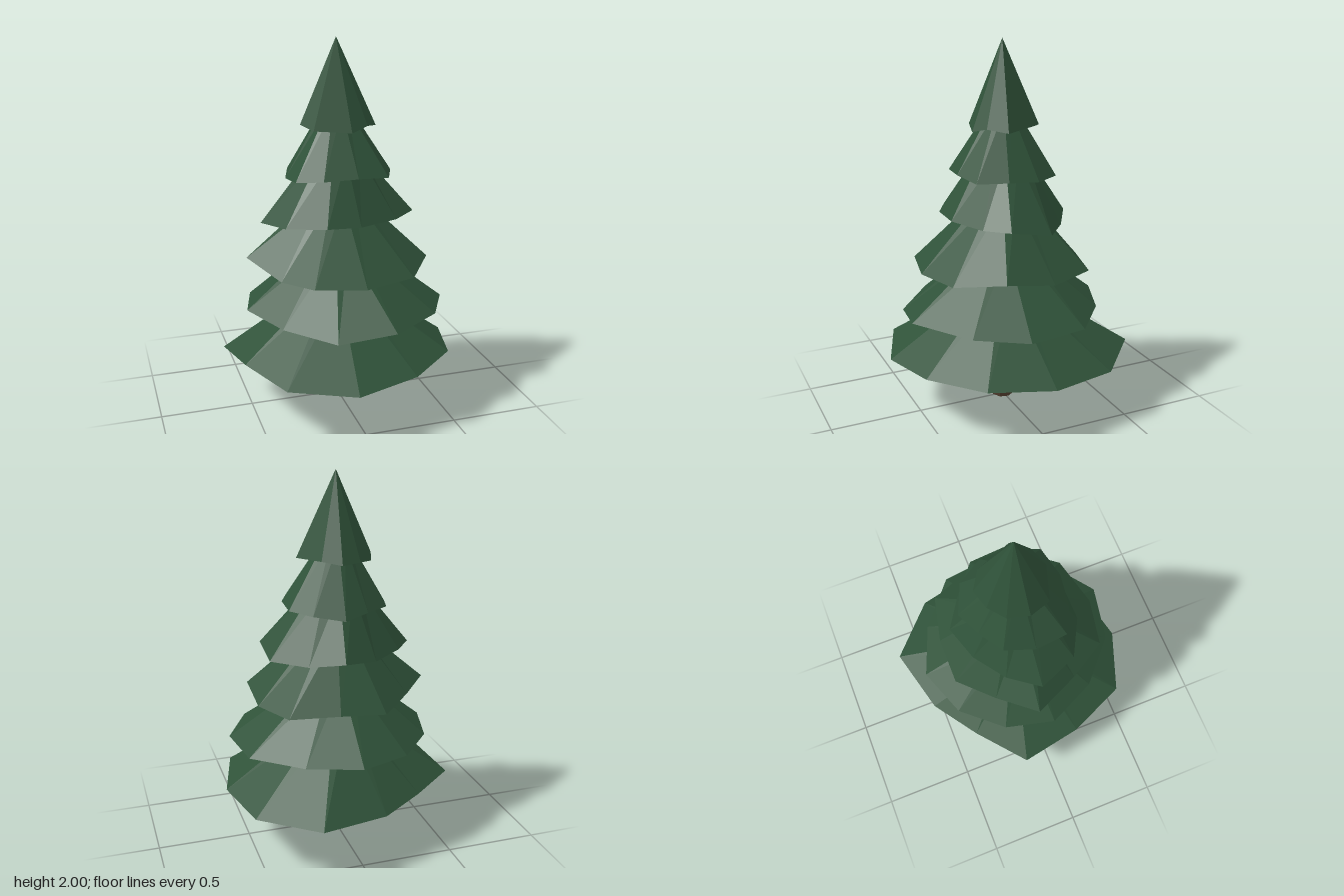
import * as THREE from 'three';

const CENTRE_X = -0.01;

// One skirt of branches: ragged rim [x, z, y], small ring at the top, closed underside.
function branchTier(name, material, topY, topRadius, rim) {
  const ring = rim
    .map(([x, z, y]) => ({ p: new THREE.Vector3(x, y, z), a: Math.atan2(z, x - CENTRE_X) }))
    .sort((m, n) => m.a - n.a);
  const tops = ring.map(({ a }) => new THREE.Vector3(
    CENTRE_X + topRadius * Math.cos(a), topY, topRadius * Math.sin(a)));
  const meanY = ring.reduce((sum, { p }) => sum + p.y, 0) / ring.length;
  const under = new THREE.Vector3(CENTRE_X, meanY, 0);
  const tip = new THREE.Vector3(CENTRE_X, topY, 0);

  const points = [];
  ring.forEach(({ p }, i) => {
    const j = (i + 1) % ring.length;
    const q = ring[j].p;
    points.push(p, tops[i], q);
    if (topRadius > 0) points.push(tops[i], tops[j], q, tops[i], tip, tops[j]);
    points.push(p, q, under);
  });
  const geometry = new THREE.BufferGeometry().setFromPoints(points);
  geometry.computeVertexNormals();
  const mesh = new THREE.Mesh(geometry, material);
  mesh.name = name;
  return mesh;
}

export function createModel() {
  const needles = new THREE.MeshStandardMaterial({ color: 0x2f5239, flatShading: true });
  needles.name = 'pine green';
  const bark = new THREE.MeshStandardMaterial({ color: 0x4a3829, flatShading: true });
  bark.name = 'bark brown';

  const tree = new THREE.Group();
  tree.name = 'pineTree';

  // Trunk
  const trunk = new THREE.Mesh(new THREE.CylinderGeometry(0.05, 0.06, 0.6, 7), bark);
  trunk.name = 'trunk';
  trunk.position.set(CENTRE_X, 0.3, 0);
  tree.add(trunk);

  // Branch tiers from bottom to top
  tree.add(branchTier('bottomTier', needles, 0.66, 0.12, [
    [0.62, -0.02, 0.305], [0.53, 0.325, 0.325], [0.26, 0.55, 0.32], [-0.08, 0.635, 0.3],
    [-0.42, 0.51, 0.32], [-0.565, 0.185, 0.335], [-0.62, -0.155, 0.295], [-0.36, -0.375, 0.3],
    [-0.11, -0.55, 0.3], [0.257, -0.644, 0.32], [0.54, -0.38, 0.3],
  ]));
  tree.add(branchTier('secondTier', needles, 0.9, 0.12, [
    [0.57, 0.1, 0.565], [0.43, 0.36, 0.575], [0.136, 0.576, 0.588], [-0.16, 0.53, 0.547],
    [-0.39, 0.32, 0.57], [-0.52, 0.05, 0.585], [-0.45, -0.22, 0.575], [-0.26, -0.435, 0.57],
    [0.01, -0.535, 0.575], [0.285, -0.427, 0.57], [0.53, -0.22, 0.57],
  ]));
  tree.add(branchTier('thirdTier', needles, 1.17, 0.12, [
    [0.445, 0.18, 0.84], [0.285, 0.405, 0.81], [0.01, 0.475, 0.8], [-0.25, 0.425, 0.81],
    [-0.37, 0.22, 0.79], [-0.498, -0.04, 0.85], [-0.335, -0.23, 0.83], [-0.156, -0.4, 0.8],
    [0.09, -0.4, 0.82], [0.345, -0.34, 0.81], [0.445, -0.09, 0.8],
  ]));
  tree.add(branchTier('fourthTier', needles, 1.4, 0.13, [
    [0.38, 0.125, 1.085], [0.25, 0.225, 1.075], [0.03, 0.31, 1.075], [-0.15, 0.31, 1.08],
    [-0.34, 0.21, 1.07], [-0.424, 0, 1.05], [-0.31, -0.16, 1.06], [-0.14, -0.28, 1.05],
    [0.044, -0.342, 1.07], [0.21, -0.24, 1.04], [0.38, -0.1, 1.045],
  ]));
  tree.add(branchTier('fifthTier', needles, 1.64, 0.07, [
    [0.264, 0.085, 1.31], [0.2, 0.237, 1.305], [0.027, 0.272, 1.318], [-0.15, 0.25, 1.31],
    [-0.278, 0.183, 1.3], [-0.29, 0.013, 1.285], [-0.24, -0.146, 1.3], [-0.11, -0.23, 1.3],
    [0.027, -0.288, 1.28], [0.18, -0.22, 1.3], [0.268, -0.08, 1.3],
  ]));
  tree.add(branchTier('topTier', needles, 2, 0, [
    [0.19, 0.054, 1.545], [0.115, 0.142, 1.56], [0.02, 0.183, 1.535], [-0.166, 0.125, 1.545],
    [-0.207, 0.01, 1.56], [-0.17, -0.1, 1.54], [-0.088, -0.17, 1.55], [0.017, -0.2, 1.545],
    [0.11, -0.14, 1.56],
  ]));
  return tree;
}
